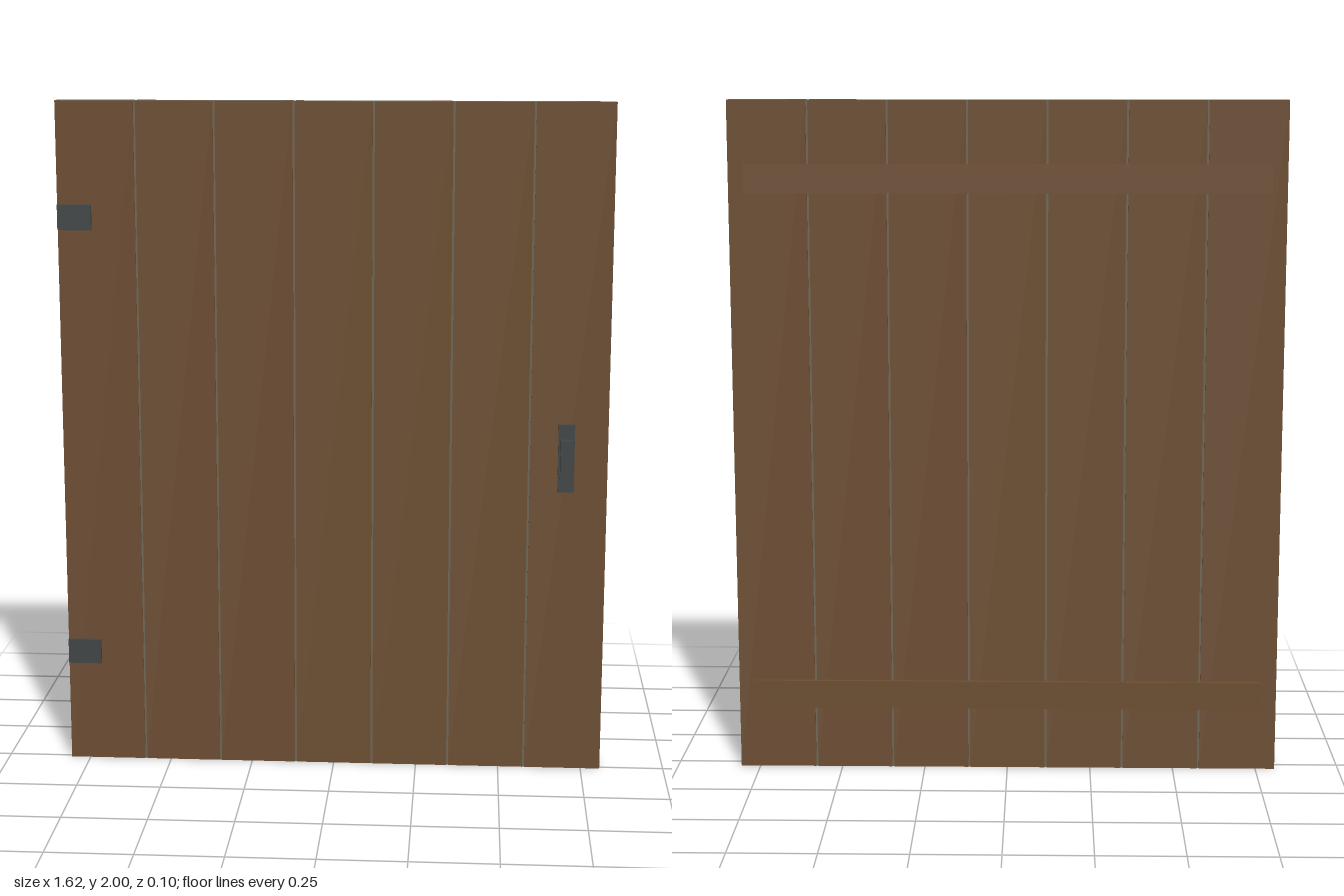
import * as THREE from 'three';

const mat = (name, color) => {
  const m = new THREE.MeshStandardMaterial({ color });
  m.name = name;
  return m;
};

export function createModel() {
  const wood = mat('brown wood', 0x6c4d31);
  const edge = mat('weathered edge', 0x6c6657);
  const iron = mat('dark iron', 0x404545);
  const door = new THREE.Group();
  door.name = 'plankDoor';

  // Box given by its limits on each axis
  const box = (name, material, [x0, x1], [y0, y1], [z0, z1]) => {
    const mesh = new THREE.Mesh(new THREE.BoxGeometry(x1 - x0, y1 - y0, z1 - z0), material);
    mesh.position.set((x0 + x1) / 2, (y0 + y1) / 2, (z0 + z1) / 2);
    mesh.name = name;
    door.add(mesh);
  };

  // Slab between the two plank skins
  const half = 0.808, front = 0.012, back = -0.038, skin = 0.004;
  box('core', edge, [-half, half], [0, 2], [back + skin, front - skin]);

  // Seven planks on each face, with narrow grooves between them
  const count = 7, pitch = (2 * half) / count, gap = 0.003;
  for (let i = 0; i < count; i++) {
    const x0 = -half + i * pitch + (i > 0 ? gap : 0);
    const x1 = -half + (i + 1) * pitch - (i < count - 1 ? gap : 0);
    box('frontPlank', wood, [x0, x1], [0, 2], [front - skin, front]);
    box('backPlank', wood, [x0, x1], [0, 2], [back, back + skin]);
  }

  // Cross battens on the back
  for (const y of [0.23, 1.775]) {
    box('batten', wood, [-0.763, 0.763], [y - 0.042, y + 0.042], [-0.051, back]);
  }

  // Hinge plates
  for (const y of [0.343, 1.663]) {
    box('hinge', iron, [-0.807, -0.708], [y - 0.037, y + 0.037], [front, 0.024]);
  }

  // Handle: backplate and raised grip
  box('handlePlate', iron, [0.662, 0.71], [0.863, 1.065], [front, 0.024]);
  box('handleGrip', iron, [0.668, 0.705], [0.904, 1.022], [0.024, 0.051]);

  return door;
}
